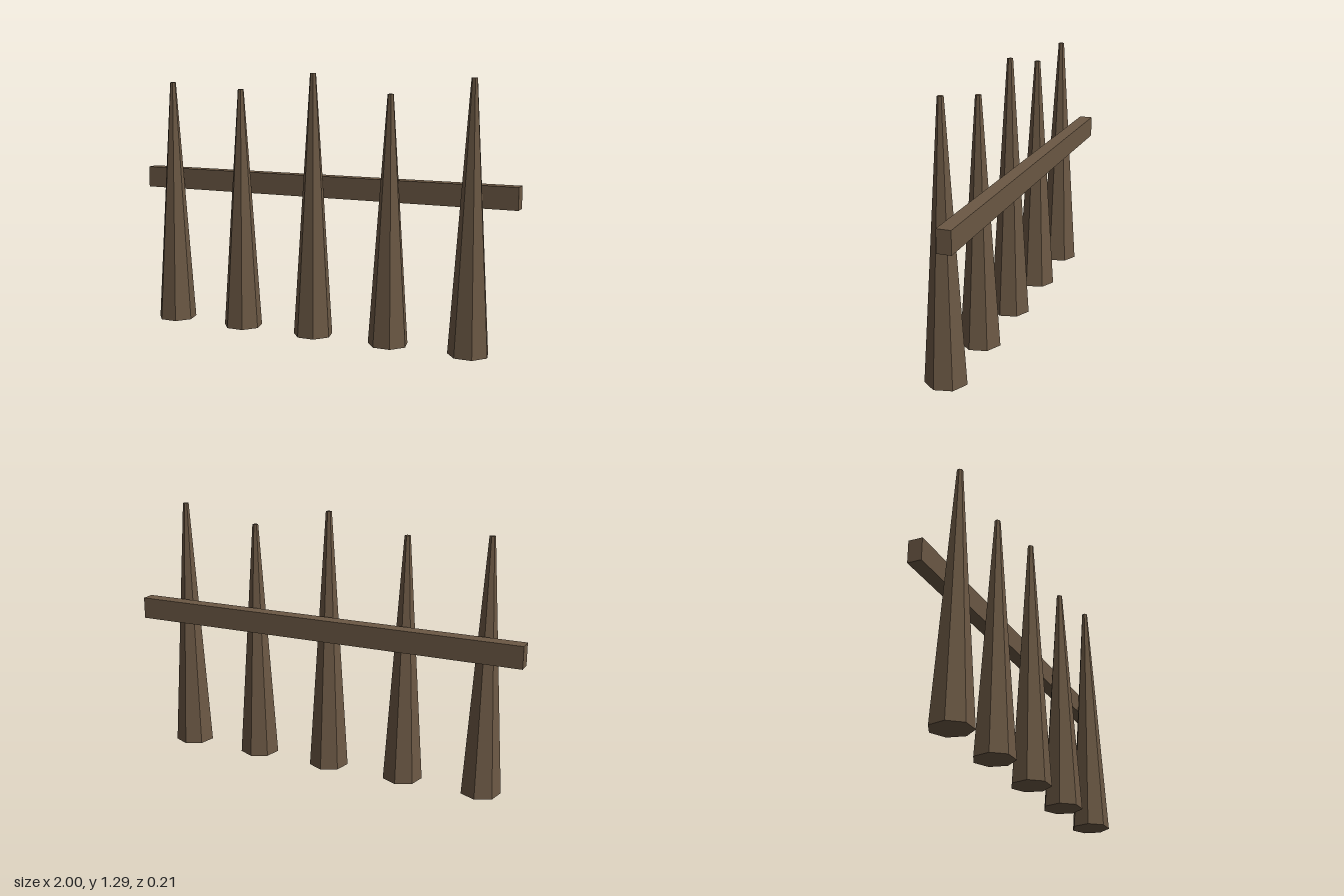
import * as THREE from 'three';

export function createModel() {
  const group = new THREE.Group();
  const wood = new THREE.MeshStandardMaterial({ color: 0x6b5844, flatShading: true });

  // Five seven-sided tapered stakes, one flat side facing the front
  const heights = [1.24, 1.21, 1.293, 1.2, 1.278];
  heights.forEach((height, i) => {
    const geometry = new THREE.CylinderGeometry(0.0148, 0.0985, height, 7, 1, false, Math.PI);
    const stake = new THREE.Mesh(geometry, wood);
    stake.name = `stake${i + 1}`;
    stake.position.set((i - 2) * 0.4, height / 2, 0.018);
    group.add(stake);
  });

  // Horizontal rail running behind the stakes
  const rail = new THREE.Mesh(new THREE.BoxGeometry(2, 0.107, 0.067), wood);
  rail.name = 'rail';
  rail.position.set(0, 0.735, -0.073);
  group.add(rail);

  return group;
}
